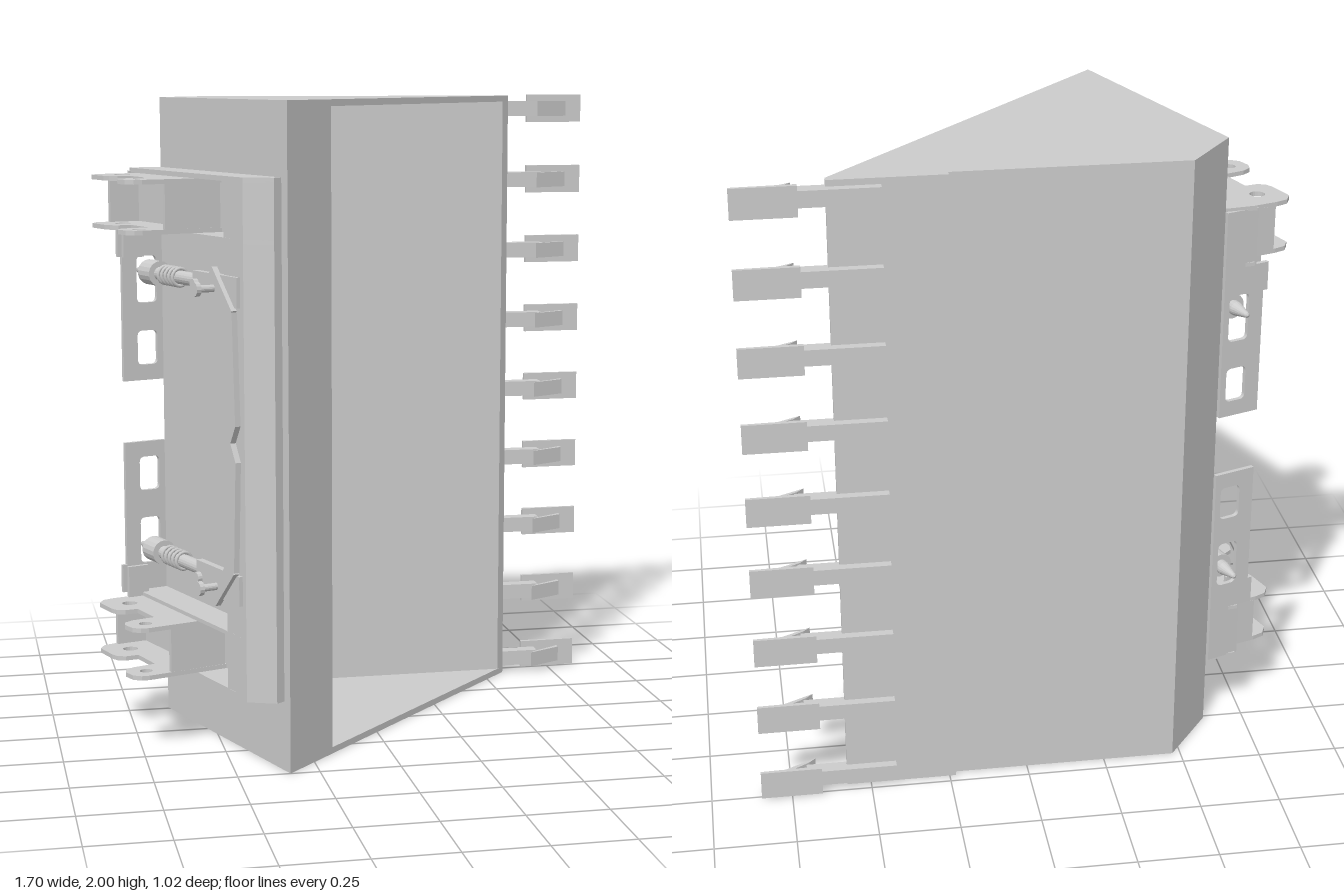
import * as THREE from 'three';

const mat = new THREE.MeshStandardMaterial({ color: 0xcccccc, flatShading: true });
const smooth = new THREE.MeshStandardMaterial({ color: 0xcccccc });

function add(parent, name, geo, m = mat) {
  const mesh = new THREE.Mesh(geo, m);
  mesh.name = name;
  parent.add(mesh);
  return mesh;
}

// Upright prism: outline given as [x, z], standing from y0 to y1
function prism(outline, y0, y1, holes = []) {
  const s = new THREE.Shape(outline.map(([x, z]) => new THREE.Vector2(x, -z)));
  for (const [x, z, r] of holes) s.holes.push(new THREE.Path().absarc(x, -z, r, 0, Math.PI * 2, true));
  const g = new THREE.ExtrudeGeometry(s, { depth: y1 - y0, bevelEnabled: false, curveSegments: 10 });
  return g.rotateX(-Math.PI / 2).translate(0, y0, 0);
}

function roundRect(path, x0, y0, x1, y1, r) {
  path.moveTo(x0 + r, y0).lineTo(x1 - r, y0).quadraticCurveTo(x1, y0, x1, y0 + r)
    .lineTo(x1, y1 - r).quadraticCurveTo(x1, y1, x1 - r, y1)
    .lineTo(x0 + r, y1).quadraticCurveTo(x0, y1, x0, y1 - r)
    .lineTo(x0, y0 + r).quadraticCurveTo(x0, y0, x0 + r, y0);
  return path;
}

function bucket() {
  const g = new THREE.Group();
  g.name = 'bucket';
  add(g, 'shell', prism([
    [-0.18, 0.334], [-0.34, 0.5], [-0.62, -0.26], [-0.475, -0.45], [0.575, -0.45],
    [0.55, -0.425], [-0.463, -0.425], [-0.597, -0.25], [-0.333, 0.465], [-0.197, 0.322],
  ], 0.02, 1.98));
  const side = [[-0.34, 0.5], [-0.62, -0.26], [-0.475, -0.45], [0.575, -0.45]];
  for (const y of [0, 1.98]) add(g, 'sidePlate', prism(side, y, y + 0.02));
  add(g, 'cuttingEdge', prism([[0.23, -0.47], [0.575, -0.47], [0.575, -0.45], [0.23, -0.45]], 0, 2));
  return g;
}

function tooth(y) {
  const g = new THREE.Group();
  g.name = 'tooth';
  add(g, 'shank', prism([[0.42, -0.497], [0.7, -0.497], [0.7, -0.452], [0.42, -0.452]], -0.025, 0.025));
  add(g, 'toothPlate', prism([[0.655, -0.512], [0.845, -0.512], [0.845, -0.502], [0.655, -0.497]], -0.046, 0.046));
  add(g, 'toothBrace', prism([[0.67, -0.42], [0.785, -0.478], [0.785, -0.5], [0.765, -0.485], [0.69, -0.44]], -0.025, 0.025));
  g.position.y = y;
  return g;
}

// Pair of lug plates with two rounded eyes each, joined by webs
function lugPair(y) {
  const g = new THREE.Group();
  g.name = 'lugPair';
  const outline = [
    [-0.6, -0.24], [-0.7, -0.21], [-0.8, -0.178], [-0.835, -0.16], [-0.85, -0.125], [-0.82, -0.04], [-0.805, -0.018],
    [-0.78, -0.01], [-0.74, -0.02], [-0.7, 0.095], [-0.77, 0.122], [-0.795, 0.145], [-0.798, 0.175],
    [-0.78, 0.215], [-0.755, 0.23], [-0.73, 0.228], [-0.56, 0.168], [-0.48, 0.14],
  ];
  for (const s of [-1, 1])
    add(g, 'lugPlate', prism(outline, s * 0.075 - 0.007, s * 0.075 + 0.007, [[-0.757, -0.1, 0.024], [-0.735, 0.17, 0.02]]));
  add(g, 'frontWeb', prism([[-0.66, 0.203], [-0.485, 0.14], [-0.49, 0.125], [-0.665, 0.188]], -0.07, 0.07));
  add(g, 'rearWeb', prism([[-0.79, -0.165], [-0.61, -0.222], [-0.615, -0.237], [-0.795, -0.18]], -0.07, 0.07));
  add(g, 'backWeb', prism([[-0.7, -0.2], [-0.565, 0.16], [-0.55, 0.155], [-0.685, -0.2]], -0.07, 0.07));
  g.position.y = y;
  return g;
}

// Coupler frame: local x points away from the bucket's back wall, -z runs up along it
function coupler() {
  const g = new THREE.Group();
  g.name = 'couplerFrame';
  g.position.set(-0.62, 0, -0.26);
  g.rotation.y = Math.PI + 0.342;

  const strip = [[0, 0], [0.1, 0.02], [0.103, 0], [0.1, -0.74], [0.03, -0.8], [0, -0.79]];
  for (const y of [0.22, 1.765]) add(g, 'framePlate', prism(strip, y, y + 0.015));
  for (const y of [0.4, 1.588]) add(g, 'innerRib', prism(strip, y, y + 0.012));
  add(g, 'crossBeam', prism([[0, -0.62], [0.1, -0.62], [0.1, -0.74], [0.03, -0.8], [0, -0.79]], 0.23, 1.77));

  for (const s of [-1, 1]) {
    const half = new THREE.Group();
    half.name = 'latchHalf';
    g.add(half);
    const Y = (a) => 1 + s * a;
    const box = (name, x0, x1, a0, a1, u0, u1) => {
      const b = add(half, name, new THREE.BoxGeometry(x1 - x0, a1 - a0, u1 - u0));
      b.position.set((x0 + x1) / 2, Y((a0 + a1) / 2), -(u0 + u1) / 2);
    };
    // Hook plate with window openings
    const plate = new THREE.Shape();
    plate.moveTo(0, Y(0.1)).lineTo(0.14, Y(0.1)).lineTo(0.14, Y(0.5)).lineTo(0.155, Y(0.5))
      .lineTo(0.155, Y(0.59)).lineTo(0.11, Y(0.59)).lineTo(0.11, Y(0.77)).lineTo(0, Y(0.77));
    for (const [a, b] of [[0.15, 0.26], [0.35, 0.5]])
      plate.holes.push(roundRect(new THREE.Path(), 0.02, Math.min(Y(a), Y(b)), 0.09, Math.max(Y(a), Y(b)), 0.018));
    add(half, 'hookPlate', new THREE.ExtrudeGeometry(plate, { depth: 0.014, bevelEnabled: false }));
    box('hookFlange', 0.08, 0.15, 0.5, 0.6, 0.02, 0.034);

    // Locking pin with tapered tip, collar and spring
    const pin = new THREE.Group();
    pin.name = 'lockingPin';
    pin.position.set(0.055, Y(0.45), 0);
    pin.rotation.x = -Math.PI / 2;
    half.add(pin);
    const turned = [[0, -0.065], [0.008, -0.06], [0.022, 0], [0.022, 0.02], [0.04, 0.02], [0.04, 0.1], [0.022, 0.1], [0.02, 0.63]];
    add(pin, 'pinBody', new THREE.LatheGeometry(turned.map((p) => new THREE.Vector2(...p)), 18));
    for (let i = 0; i < 5; i++) {
      const coil = add(pin, 'springCoil', new THREE.TorusGeometry(0.027, 0.006, 6, 16), smooth);
      coil.rotation.x = Math.PI / 2;
      coil.position.y = 0.14 + i * 0.025;
    }

    // Release knob and its mount
    box('knobMount', 0.09, 0.112, 0.4, 0.49, 0.44, 0.72);
    for (const [u, len, r] of [[0.6, 0.09, 0.022], [0.47, 0.03, 0.018]]) {
      const knob = [[0, 0], [0.011, 0], [0.011, len - 0.015], [r, len - 0.015], [r, len], [0, len]];
      const k = add(half, 'releaseKnob', new THREE.LatheGeometry(knob.map((p) => new THREE.Vector2(...p)), 14));
      k.rotation.z = -Math.PI / 2;
      k.position.set(0.1, Y(0.45), -u);
    }

    // Bent release lever made of flat bars, points as [along wall, height from middle]
    const path = [[0.58, 0.49], [0.69, 0.38], [0.705, 0.06], [0.67, 0]];
    for (let i = 0; i < path.length - 1; i++) {
      const [u0, a0] = path[i], [u1, a1] = path[i + 1];
      const dy = s * (a1 - a0), dz = -(u1 - u0);
      const bar = add(half, 'releaseLever', new THREE.BoxGeometry(0.018, Math.hypot(dy, dz) + 0.015, 0.05));
      bar.position.set(0.117, Y((a0 + a1) / 2), -(u0 + u1) / 2);
      bar.rotation.x = Math.atan2(dz, dy);
    }
  }
  return g;
}

export function createModel() {
  const model = new THREE.Group();
  model.name = 'loaderBucket';
  model.add(bucket());
  for (let i = 0; i < 9; i++) model.add(tooth(0.048 + i * 0.2385));
  for (const y of [0.318, 1.682]) model.add(lugPair(y));
  model.add(coupler());
  return model;
}
